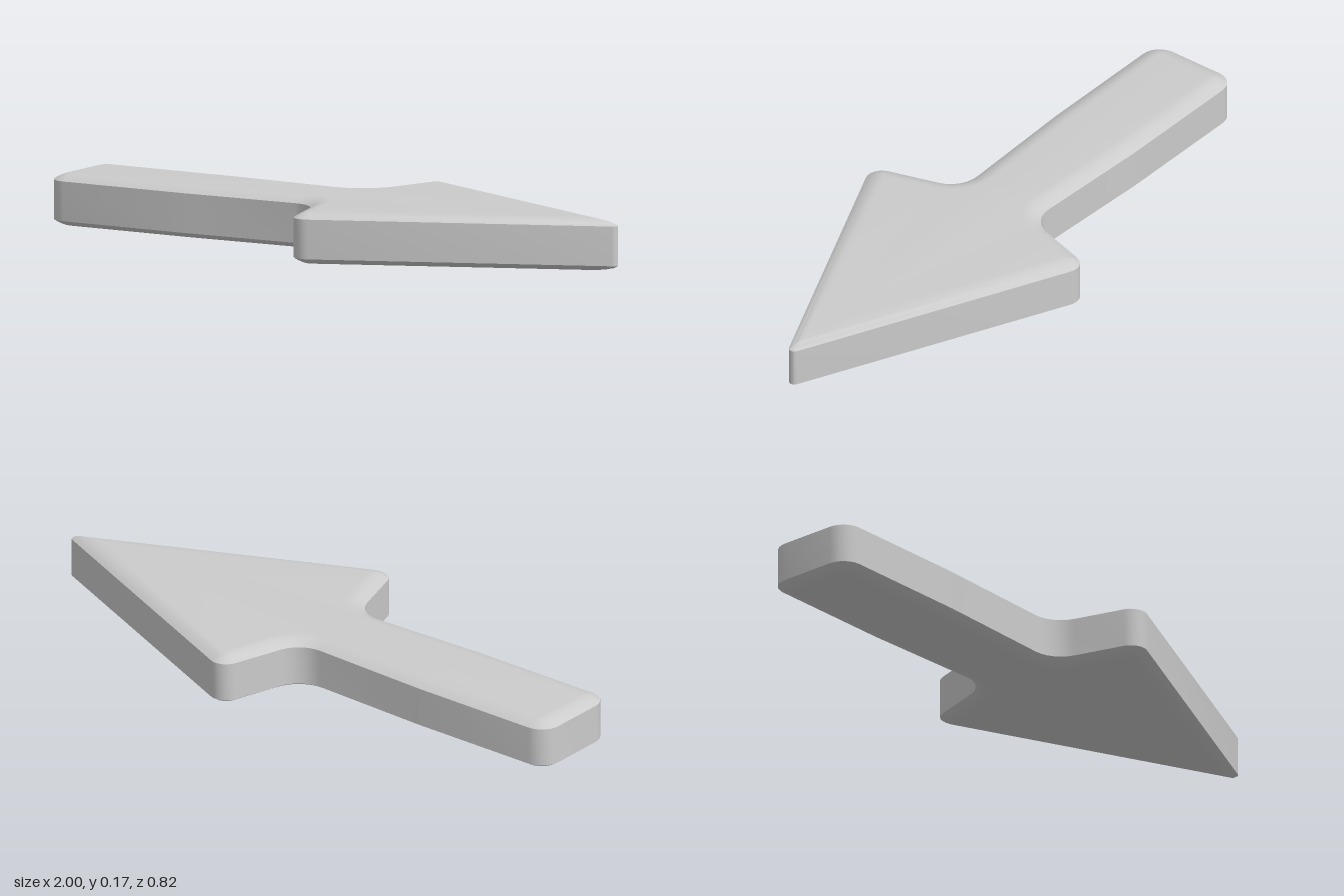
import * as THREE from 'three';
import { toCreasedNormals } from 'three/addons/utils/BufferGeometryUtils.js';

const HEIGHT = 0.166, BEVEL_H = 0.021, BEVEL_IN = 0.06, BEVEL_STEPS = 5, ARC_STEPS = 6;

// One half of the arrow outline as sharp corners: [x, z, corner radius]
const half = [
  [-1, 0.157, 0.065],    // tail corner
  [-0.5, 0.157, 0.3],    // where the shaft starts to taper
  [-0.018, 0.139, 0.1],  // fillet between shaft and head
  [0.07, 0.43, 0.052],   // barb
];
const corners = [
  ...half,
  [1.024, 0, 0.017],     // tip
  ...half.map(([x, z, r]) => [x, -z, r]).reverse(),
];

// Outline moved inward by d, with every corner rounded by an arc
function outline(d) {
  const n = corners.length, points = [];
  corners.forEach(([x, z, r], i) => {
    const p = new THREE.Vector2(x, z);
    const prev = corners[(i + n - 1) % n], next = corners[(i + 1) % n];
    const u = new THREE.Vector2(x - prev[0], z - prev[1]).normalize();
    const v = new THREE.Vector2(next[0] - x, next[1] - z).normalize();
    const turn = Math.atan2(u.cross(v), u.dot(v));
    const radius = turn < 0 ? Math.max(r - d, 0.003) : -r - d;
    const n1 = new THREE.Vector2(-u.y, u.x), n2 = new THREE.Vector2(-v.y, v.x);
    const miter = n1.clone().add(n2).divideScalar(1 + n1.dot(n2));
    const center = p.addScaledVector(miter, -(d + radius));
    const start = Math.atan2(n1.y, n1.x);
    for (let k = 0; k <= ARC_STEPS; k++) {
      const a = start + turn * k / ARC_STEPS;
      points.push(new THREE.Vector2(center.x + radius * Math.cos(a), center.y + radius * Math.sin(a)));
    }
  });
  return points;
}

function arrowGeometry() {
  // Cross-sections from the bottom face, up the wall, to the top face
  const levels = [];
  for (let k = 0; k <= BEVEL_STEPS; k++) {
    const t = k / BEVEL_STEPS;
    levels.push([BEVEL_IN * t, BEVEL_H * (1 - t) ** 2]);
  }
  const rings = [
    ...levels.slice().reverse(),
    ...levels.map(([d, y]) => [d, HEIGHT - y]),
  ];
  const count = outline(0).length, positions = [], index = [];
  for (const [d, y] of rings) for (const p of outline(d)) positions.push(p.x, y, p.y);

  // Wall and bevels
  for (let r = 0; r < rings.length - 1; r++) {
    for (let i = 0; i < count; i++) {
      const a = r * count + i, b = r * count + (i + 1) % count;
      index.push(a, b, a + count, b, b + count, a + count);
    }
  }
  // Flat top and bottom
  const cap = outline(BEVEL_IN), top = (rings.length - 1) * count;
  for (const [a, b, c] of THREE.ShapeUtils.triangulateShape(cap, [])) {
    const facesDown = THREE.ShapeUtils.area([cap[a], cap[b], cap[c]]) > 0;
    const [p, q] = facesDown ? [b, c] : [c, b];
    index.push(a, p, q, top + a, top + q, top + p);
  }
  const geometry = new THREE.BufferGeometry();
  geometry.setAttribute('position', new THREE.Float32BufferAttribute(positions, 3));
  geometry.setIndex(index);
  return toCreasedNormals(geometry, 0.6);
}

export function createModel() {
  const group = new THREE.Group();
  group.name = 'arrow';
  const body = new THREE.Mesh(arrowGeometry(), new THREE.MeshStandardMaterial({ color: 0xcccccc }));
  body.name = 'arrowBody';
  group.add(body);
  return group;
}
